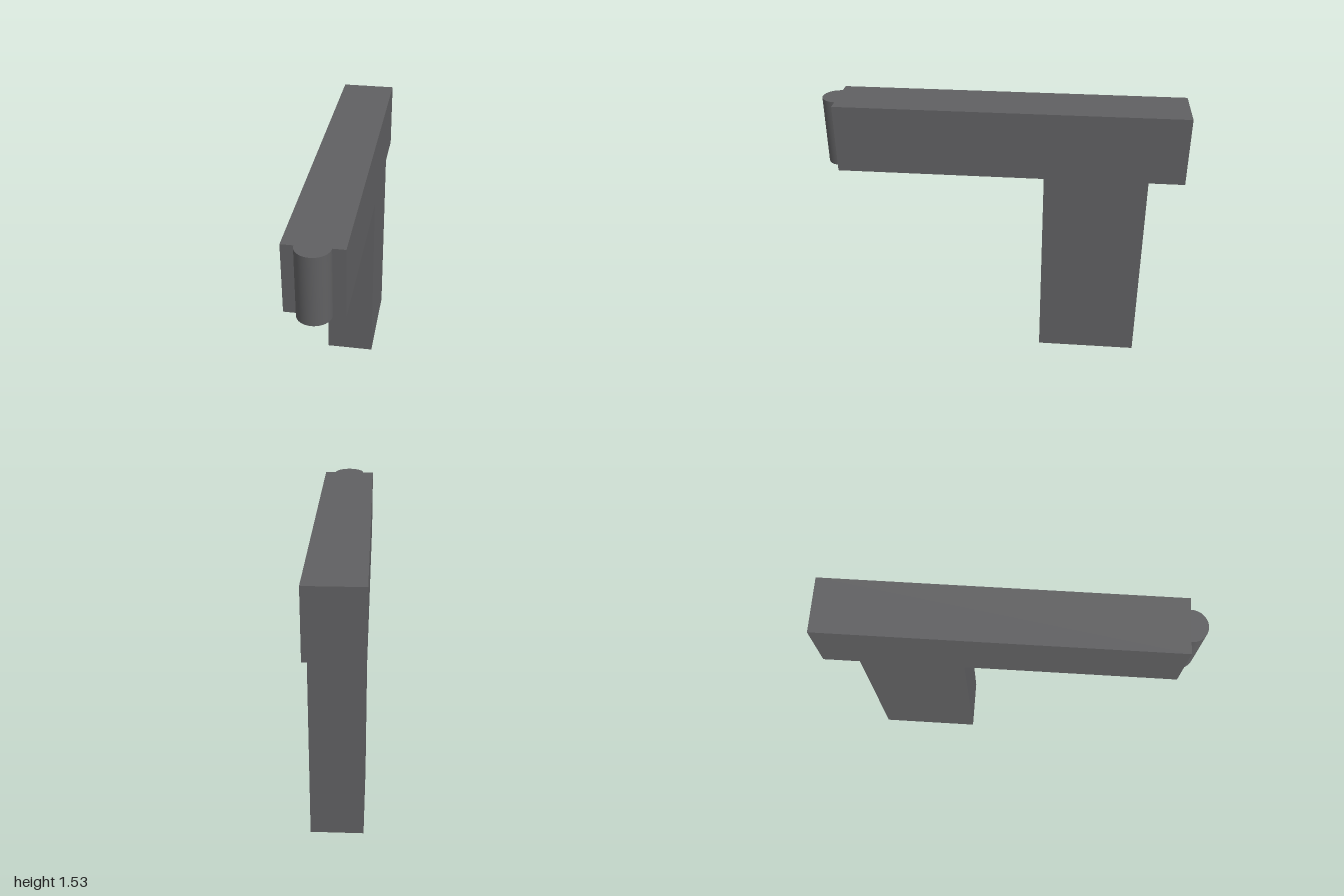
import * as THREE from 'three';

export function createModel() {
  const group = new THREE.Group();
  const darkGrey = new THREE.MeshStandardMaterial({ color: 0x606062 });
  darkGrey.name = 'darkGrey';

  const add = (name, geometry, y, z) => {
    const mesh = new THREE.Mesh(geometry, darkGrey);
    mesh.name = name;
    mesh.position.set(0, y, z);
    group.add(mesh);
  };

  const bottom = 1.15, top = 1.53, frontZ = 0.912;
  const height = top - bottom, midY = (top + bottom) / 2;

  // Long horizontal beam
  add('beam', new THREE.BoxGeometry(0.304, height, frontZ + 1), midY, (frontZ - 1) / 2);

  // Half-round nose on the front end of the beam
  add('nose', new THREE.CylinderGeometry(0.088, 0.088, height, 32, 1, false, -Math.PI / 2, Math.PI), midY, frontZ);

  // Upright post below the beam
  add('post', new THREE.BoxGeometry(0.288, bottom, 0.57), bottom / 2, -0.52);

  return group;
}
